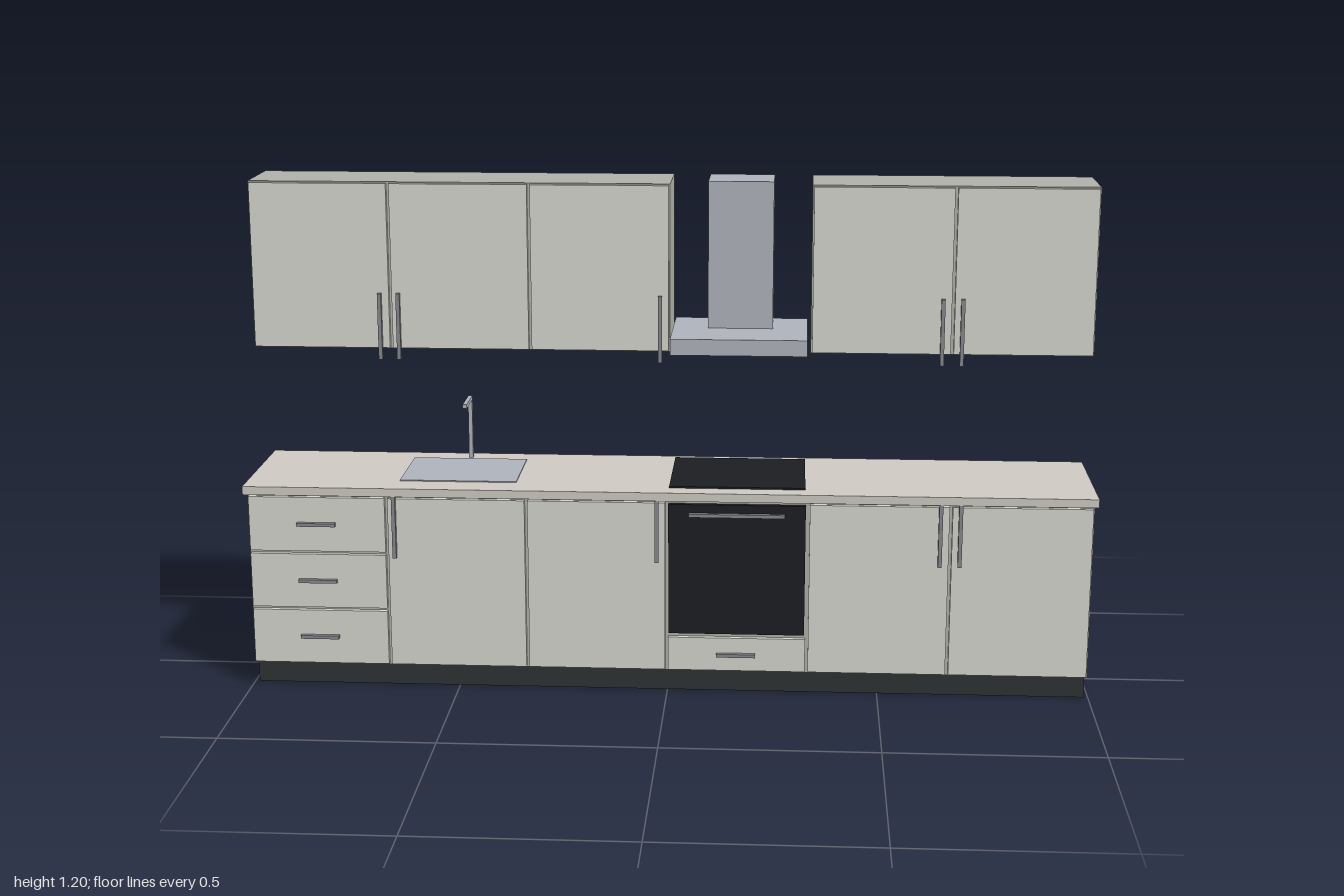
import * as THREE from 'three';

const mat = (color) => new THREE.MeshStandardMaterial({ color });

export function createModel() {
  const model = new THREE.Group();
  model.name = 'kitchen';
  const body = mat(0xb0b0a9), front = mat(0xd4d4cd), stone = mat(0xcdc9c2);
  const steel = mat(0xaeb2ba), bar = mat(0x85878b), dark = mat(0x2e3131), glass = mat(0x1b1d21);

  // Box given by its lower and upper limits on each axis
  const box = (name, material, [x0, x1], [y0, y1], [z0, z1], parent = model) => {
    const mesh = new THREE.Mesh(new THREE.BoxGeometry(x1 - x0, y1 - y0, z1 - z0), material);
    mesh.position.set((x0 + x1) / 2, (y0 + y1) / 2, (z0 + z1) / 2);
    mesh.name = name;
    parent.add(mesh);
    return mesh;
  };

  const back = -0.17, unit = 0.331, gap = 0.0035;
  const column = (i) => [(i - 3) * unit + gap, (i - 2) * unit - gap];

  // Bar handles, upright or level
  const upright = (x, y0, y1, z) => box('doorHandle', bar, [x - 0.0045, x + 0.0045], [y0, y1], [z, z + 0.011]);
  const level = (name, x, y, width, z) =>
    box(name, bar, [x - width / 2, x + width / 2], [y - 0.004, y + 0.004], [z, z + 0.011]);

  // Base run with plinth and worktop
  box('plinth', dark, [-0.99, 0.99], [0, 0.057], [back, 0.128]);
  box('baseCabinet', body, [-0.993, 0.993], [0.057, 0.48], [back, 0.149]);
  box('worktop', stone, [-1, 1], [0.48, 0.5], [back, 0.171]);

  // Base doors
  for (const i of [1, 2, 4, 5]) box('baseDoor', front, column(i), [0.062, 0.473], [0.149, 0.161]);
  for (const x of [-0.643, -0.023, 0.638, 0.684]) upright(x, 0.33, 0.48, 0.161);

  // Stack of three drawers
  for (let i = 0; i < 3; i++) {
    const y = 0.062 + i * 0.1395;
    box('drawerFront', front, column(0), [y, y + 0.132], [0.149, 0.161]);
    level('drawerHandle', -0.829, y + 0.067, 0.092, 0.161);
  }

  // Oven with a drawer below
  box('ovenDoor', glass, [0.004, 0.325], [0.153, 0.47], [0.149, 0.161]);
  level('ovenHandle', 0.164, 0.446, 0.225, 0.161);
  box('ovenDrawer', front, column(3), [0.062, 0.143], [0.149, 0.161]);
  level('drawerHandle', 0.164, 0.102, 0.092, 0.161);

  // Hob, sink and tap
  box('hob', glass, [0.004, 0.323], [0.5, 0.504], [-0.143, 0.126]);
  box('sink', steel, [-0.638, -0.36], [0.5, 0.5025], [-0.11, 0.1]);
  const tap = new THREE.Group();
  tap.name = 'tap';
  model.add(tap);
  box('tapPost', steel, [-0.505, -0.495], [0.5, 0.655], [-0.138, -0.127], tap);
  box('tapSpout', steel, [-0.505, -0.495], [0.645, 0.655], [-0.127, -0.038], tap);

  // Wall cabinets, either side of the hood
  for (const [first, last] of [[0, 2], [4, 5]]) {
    box('wallCabinet', body, [(first - 3) * unit, (last - 2) * unit], [0.803, 1.2], [back, 0.01]);
    for (let i = first; i <= last; i++) box('wallDoor', front, column(i), [0.806, 1.197], [0.01, 0.022]);
  }
  for (const x of [-0.687, -0.643, -0.023, 0.638, 0.684]) upright(x, 0.78, 0.938, 0.022);

  // Extractor hood
  box('hoodCanopy', steel, [0.004, 0.323], [0.812, 0.85], [back, 0.096]);
  box('hoodChimney', steel, [0.087, 0.241], [0.85, 1.2], [back, -0.04]);

  return model;
}
